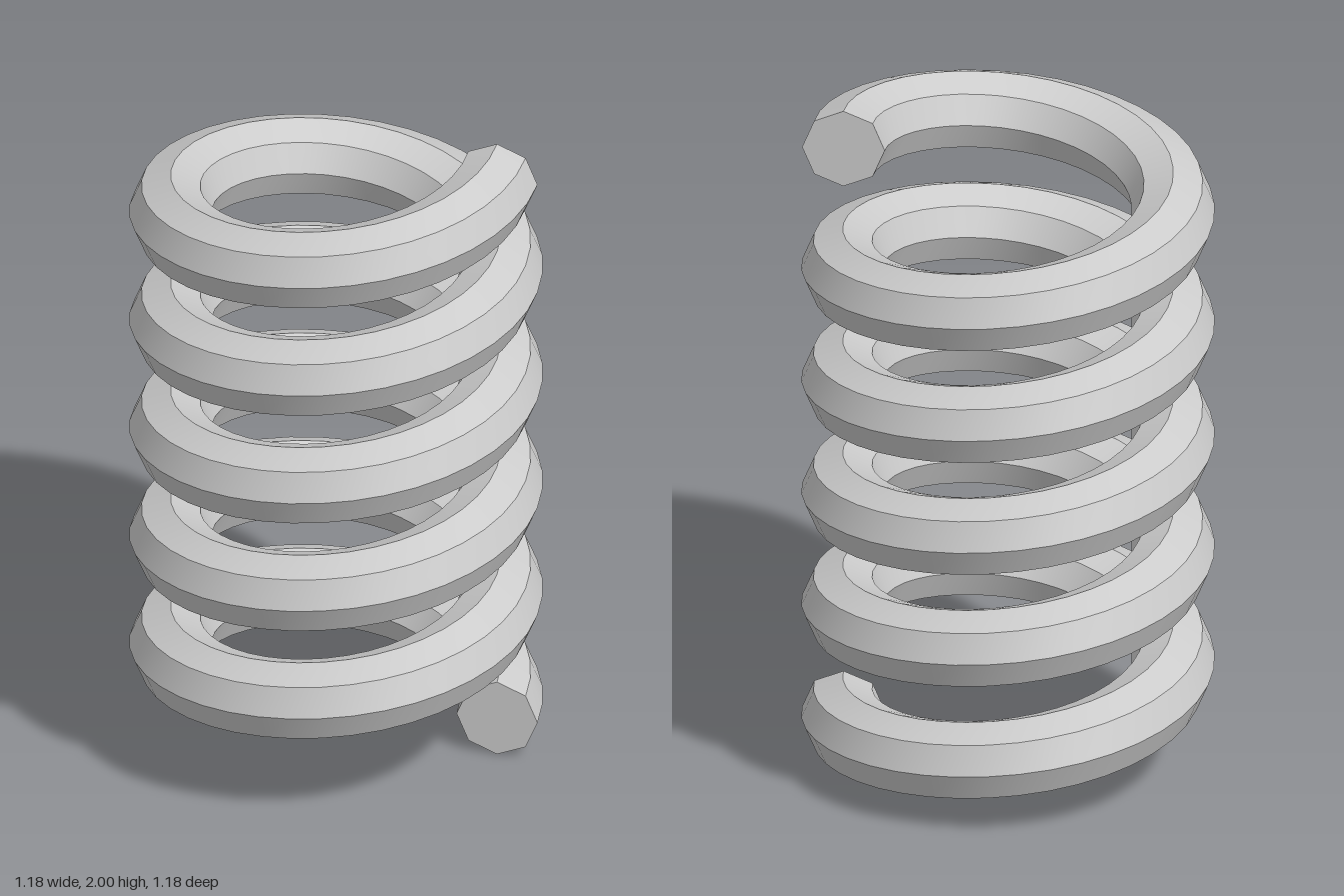
import * as THREE from 'three';
import { toCreasedNormals } from 'three/addons/utils/BufferGeometryUtils.js';

const TURNS = 5, STEPS = 40, SIDES = 8;
const COIL_RADIUS = 0.47, WIRE_RADIUS = 0.118;
const START_Y = WIRE_RADIUS, RISE = 2 - 2 * WIRE_RADIUS;

// Octagonal wire swept up a helix; every section stands in a radial plane
function coilGeometry() {
  const positions = [], index = [];
  const rings = TURNS * STEPS;
  for (let i = 0; i <= rings; i++) {
    const angle = (i / STEPS) * Math.PI * 2;
    const y = START_Y + (RISE * i) / rings;
    for (let j = 0; j < SIDES; j++) {
      const phi = (j / SIDES) * Math.PI * 2;
      const r = COIL_RADIUS + WIRE_RADIUS * Math.cos(phi);
      positions.push(r * Math.cos(angle), y + WIRE_RADIUS * Math.sin(phi), -r * Math.sin(angle));
    }
  }
  // Wire surface
  for (let i = 0; i < rings; i++) {
    for (let j = 0; j < SIDES; j++) {
      const k = (j + 1) % SIDES;
      const a = i * SIDES + j, b = i * SIDES + k;
      const c = a + SIDES, d = b + SIDES;
      index.push(a, c, d, a, d, b);
    }
  }
  // Flat cut ends
  const last = rings * SIDES;
  for (let j = 1; j < SIDES - 1; j++) {
    index.push(0, j, j + 1);
    index.push(last, last + j + 1, last + j);
  }
  const geometry = new THREE.BufferGeometry();
  geometry.setAttribute('position', new THREE.Float32BufferAttribute(positions, 3));
  geometry.setIndex(index);
  // Smooth along the wire, sharp between its eight sides
  return toCreasedNormals(geometry, 0.5);
}

export function createModel() {
  const group = new THREE.Group();
  group.name = 'coilSpring';
  const coil = new THREE.Mesh(coilGeometry(), new THREE.MeshStandardMaterial({ color: 0xcccccc }));
  coil.name = 'springCoil';
  group.add(coil);
  return group;
}
